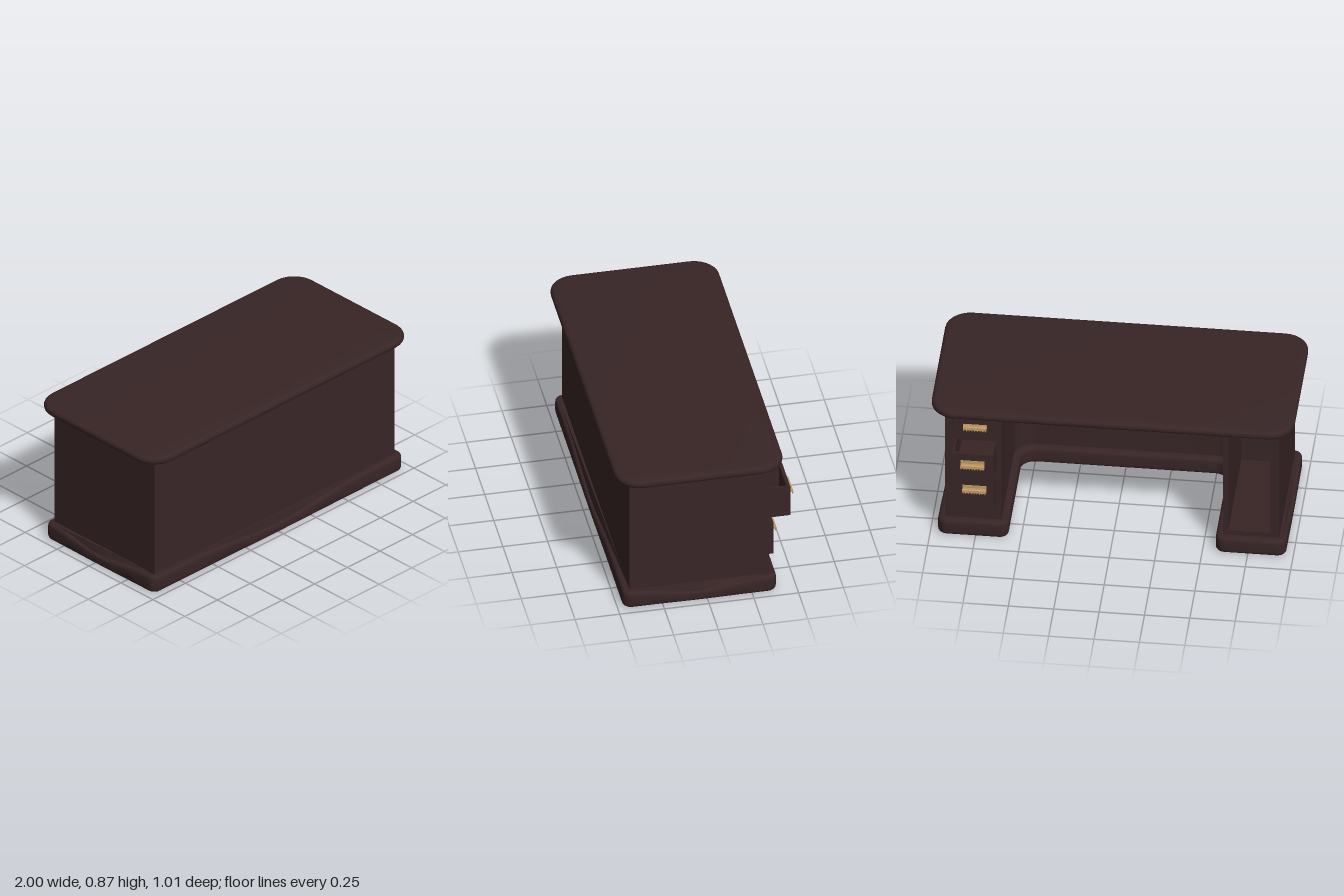
import * as THREE from 'three';
import { toCreasedNormals } from 'three/addons/utils/BufferGeometryUtils.js';

const wood = new THREE.MeshStandardMaterial({ color: 0x382526 });
wood.name = 'dark wood';
const brass = new THREE.MeshStandardMaterial({ color: 0xc09a62 });
brass.name = 'brass';

function add(parent, name, geometry, material = wood) {
  const mesh = new THREE.Mesh(geometry, material);
  mesh.name = name;
  parent.add(mesh);
  return mesh;
}

// Box given by its limits on each axis
function block(parent, name, [x0, x1], [y0, y1], [z0, z1], material = wood) {
  const mesh = add(parent, name, new THREE.BoxGeometry(x1 - x0, y1 - y0, z1 - z0), material);
  mesh.position.set((x0 + x1) / 2, (y0 + y1) / 2, (z0 + z1) / 2);
  return mesh;
}

// Plan outline from right-angled corners [x, z, radius], straight runs cut into steps
function outline(corners, steps = 1) {
  const points = [];
  const n = corners.length;
  const at = (i) => new THREE.Vector2(corners[(i + n) % n][0], corners[(i + n) % n][1]);
  for (let i = 0; i < n; i++) {
    const p = at(i);
    const r = corners[i][2] || 0;
    const back = at(i - 1).sub(p).normalize();
    const ahead = at(i + 1).sub(p).normalize();
    const centre = p.clone().addScaledVector(back, r).addScaledVector(ahead, r);
    const segments = r > 0 ? 7 : 0;
    for (let k = 0; k <= segments; k++) {
      const t = segments ? (k / segments) * Math.PI / 2 : 0;
      points.push(centre.clone()
        .addScaledVector(ahead, -r * Math.cos(t))
        .addScaledVector(back, -r * Math.sin(t)));
    }
    const start = p.clone().addScaledVector(ahead, r);
    const nextR = corners[(i + 1) % n][2] || 0;
    const end = at(i + 1).addScaledVector(ahead, -nextR);
    for (let k = 1; k < steps; k++) points.push(start.clone().lerp(end, k / steps));
  }
  return points;
}

// Slab with a plan outline, standing from y0 to y1, with an optional rounded rim
function slab(points, y0, y1, rimOut = 0, rimUp = 0) {
  const geometry = new THREE.ExtrudeGeometry(new THREE.Shape(points), {
    depth: y1 - y0 - 2 * rimUp,
    bevelEnabled: rimOut > 0,
    bevelSize: rimOut,
    bevelOffset: -rimOut,
    bevelThickness: rimUp,
    bevelSegments: 4,
  });
  geometry.rotateX(Math.PI / 2);
  geometry.translate(0, y1 - rimUp, 0);
  return geometry;
}

// Plinth rim sinks towards the middle of the front and of both ends
function scallop(geometry) {
  const p = geometry.attributes.position;
  const wave = (u) => (Math.abs(u) < 1 ? 0.5 + 0.5 * Math.cos(Math.PI * u) : 0);
  for (let i = 0; i < p.count; i++) {
    const x = p.getX(i);
    const z = p.getZ(i);
    let dip = 0;
    if (z > 0.4) dip = 0.47 * wave(x / 0.65);
    if (Math.abs(x) > 0.9) dip = Math.max(dip, 0.4 * wave((z - 0.04) / 0.38));
    p.setY(i, p.getY(i) * (1 - dip));
  }
  return geometry;
}

// Curled pull with a back plate and a scalloped lip, reaching towards -z
function makeHandle(height) {
  const handle = new THREE.Group();
  handle.name = 'handle';
  block(handle, 'handlePlate', [-0.065, 0.065], [-0.5 * height, 0.5 * height], [-0.004, 0.002], brass);
  const curl = new THREE.Shape([
    [0, 0.006], [0.02, 0.008], [0.026, 0.004], [0.027, -0.012],
    [0.021, -0.012], [0.019, -0.002], [0, -0.004],
  ].map(([a, b]) => new THREE.Vector2(a, b)));
  const grip = new THREE.ExtrudeGeometry(curl, { depth: 0.13, bevelEnabled: false });
  grip.rotateY(Math.PI / 2);
  grip.translate(-0.065, 0, 0);
  add(handle, 'handleGrip', grip, brass);
  for (let i = 0; i < 9; i++) {
    const tooth = add(handle, 'handleLip', new THREE.CylinderGeometry(0.005, 0.003, 0.012, 6), brass);
    tooth.position.set(-0.06 + i * 0.015, -0.014, -0.024);
  }
  return handle;
}

// Open-topped drawer with its front at z = front
function makeDrawer(y0, y1, front, handleY, plateHeight) {
  const drawer = new THREE.Group();
  drawer.name = 'drawer';
  const x = [0.641, 0.869];
  const y = [y0 + 0.001, y1 - 0.001];
  const back = front + 0.55;
  block(drawer, 'drawerFront', x, y, [front, front + 0.02]);
  block(drawer, 'drawerBack', x, y, [back - 0.015, back]);
  block(drawer, 'drawerBottom', x, [y[0], y[0] + 0.012], [front + 0.02, back - 0.015]);
  block(drawer, 'drawerSide', [x[0], x[0] + 0.012], y, [front + 0.02, back - 0.015]);
  block(drawer, 'drawerSide', [x[1] - 0.012, x[1]], y, [front + 0.02, back - 0.015]);
  const handle = makeHandle(plateHeight);
  handle.position.set(0.755, handleY, front);
  // The curl profile extends along -z after its turn
  drawer.add(handle);
  return drawer;
}

export function createModel() {
  const desk = new THREE.Group();
  desk.name = 'desk';

  // Table top
  const top = outline([[-1, -0.435, 0.14], [1, -0.435, 0.14], [1, 0.505, 0.14], [-1, 0.505, 0.14]]);
  add(desk, 'tableTop', toCreasedNormals(slab(top, 0.82, 0.87, 0.028, 0.02), 0.7));

  // Walls: both pedestals and the front panel around the knee space
  const walls = outline([
    [-0.92, -0.35], [-0.92, 0.43], [0.92, 0.43], [0.92, -0.35],
    [0.87, -0.35], [0.87, 0.3], [0.64, 0.3], [0.64, -0.35],
    [0.61, -0.35], [0.61, 0.36, 0.12], [-0.61, 0.36, 0.12], [-0.61, -0.35],
    [-0.64, -0.35], [-0.64, 0.3], [-0.87, 0.3], [-0.87, -0.35],
  ]);
  add(desk, 'walls', toCreasedNormals(slab(walls, 0.01, 0.825), 0.7));

  // Plinth
  const plinth = outline([
    [-0.96, -0.39, 0.05], [-0.96, 0.47, 0.05], [0.96, 0.47, 0.05], [0.96, -0.39, 0.05],
    [0.57, -0.39, 0.05], [0.57, 0.32, 0.08], [-0.57, 0.32, 0.08], [-0.57, -0.39, 0.05],
  ], 24);
  add(desk, 'plinth', toCreasedNormals(scallop(slab(plinth, 0, 0.1, 0.018, 0.022)), 0.7));

  // Open cupboard floor and ceiling
  block(desk, 'cupboardFloor', [-0.87, -0.64], [0.05, 0.13], [-0.35, 0.3]);
  block(desk, 'cupboardCeiling', [-0.87, -0.64], [0.79, 0.825], [-0.35, 0.3]);

  // Rails between the drawers
  for (const y of [[0.05, 0.19], [0.4, 0.435], [0.63, 0.65], [0.77, 0.825]]) {
    block(desk, 'drawerRail', [0.64, 0.87], y, [-0.35, 0.3]);
  }

  // Drawers, pulled out by different amounts
  desk.add(makeDrawer(0.65, 0.77, -0.355, 0.73, 0.022));
  desk.add(makeDrawer(0.435, 0.63, -0.48, 0.56, 0.05));
  desk.add(makeDrawer(0.19, 0.4, -0.386, 0.325, 0.045));

  return desk;
}
